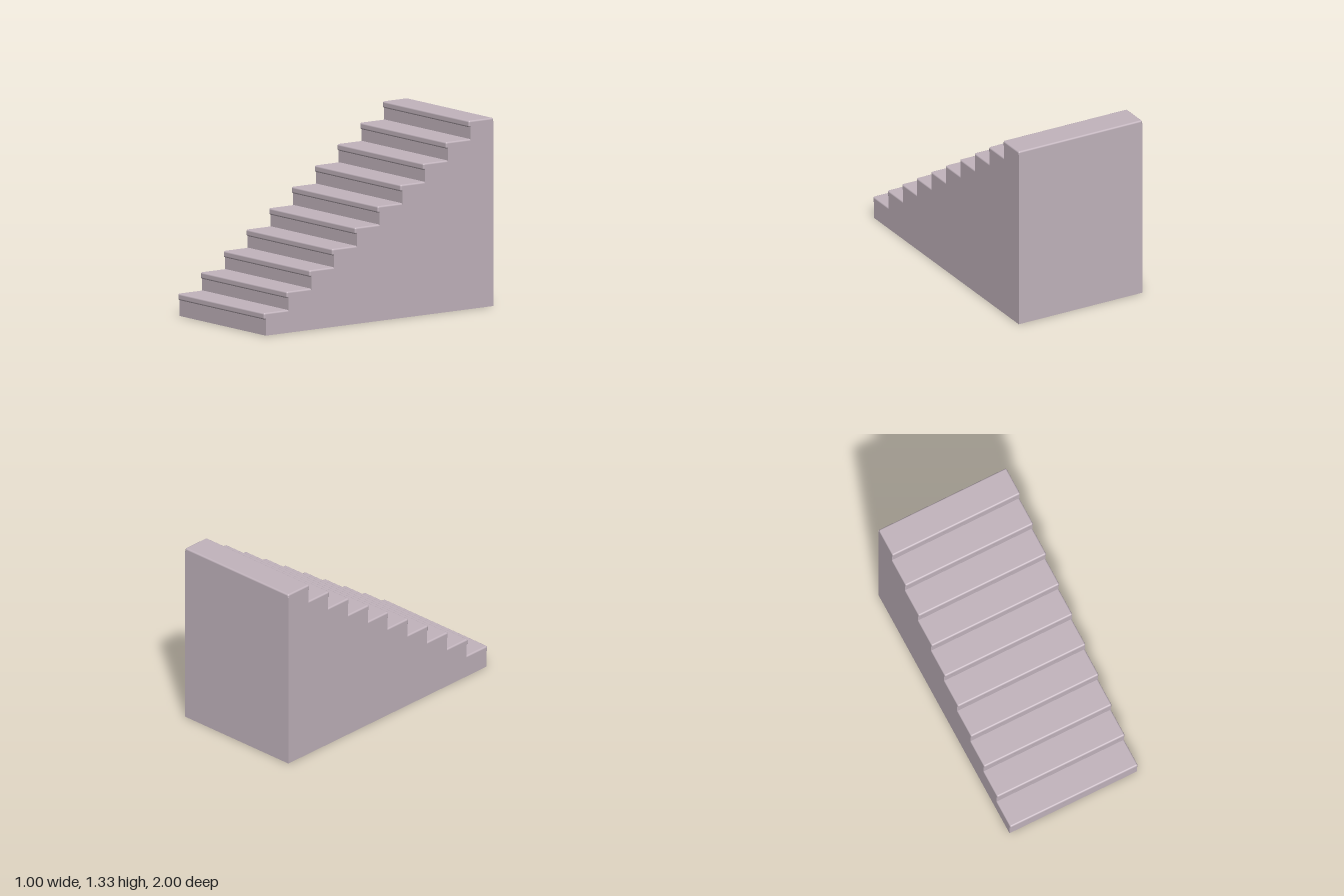
import * as THREE from 'three';
import { RoundedBoxGeometry } from 'three/addons/geometries/RoundedBoxGeometry.js';

const STEPS = 10;
const WIDTH = 1;
const RUN = 0.1983; // distance between neighbouring nosings
const RISE = 0.13;
const FIRST_TOP = 0.16; // height of the lowest tread
const THICK = 0.047; // tread thickness
const OVERHANG = 0.014;
const BACK = -1;

const noseZ = (i) => 1 - i * RUN;
const topY = (i) => FIRST_TOP + i * RISE;

export function createModel() {
  const group = new THREE.Group();
  group.name = 'staircase';
  const stone = new THREE.MeshStandardMaterial({ color: 0xc2b4bd });
  stone.name = 'mauve stone';

  // Solid stepped body: the profile is drawn as (-z, y) and extruded across the width
  const profile = new THREE.Shape();
  profile.moveTo(-BACK, 0);
  profile.lineTo(-(noseZ(0) - OVERHANG), 0);
  for (let i = 0; i < STEPS; i++) {
    const y = topY(i) - THICK / 2;
    profile.lineTo(-(noseZ(i) - OVERHANG), y);
    profile.lineTo(i < STEPS - 1 ? -(noseZ(i + 1) - OVERHANG) : -BACK, y);
  }
  const bodyGeometry = new THREE.ExtrudeGeometry(profile, { depth: WIDTH, bevelEnabled: false });
  bodyGeometry.translate(0, 0, -WIDTH / 2);
  bodyGeometry.rotateY(Math.PI / 2);
  const body = new THREE.Mesh(bodyGeometry, stone);
  body.name = 'steppedBody';
  group.add(body);

  // Rounded treads, each running slightly into the riser behind it
  for (let i = 0; i < STEPS; i++) {
    const back = i < STEPS - 1 ? noseZ(i + 1) - OVERHANG - 0.015 : BACK;
    const depth = noseZ(i) - back;
    const tread = new THREE.Mesh(new RoundedBoxGeometry(WIDTH, THICK, depth, 4, 0.012), stone);
    tread.position.set(0, topY(i) - THICK / 2, back + depth / 2);
    tread.name = `tread${i + 1}`;
    group.add(tread);
  }
  return group;
}
